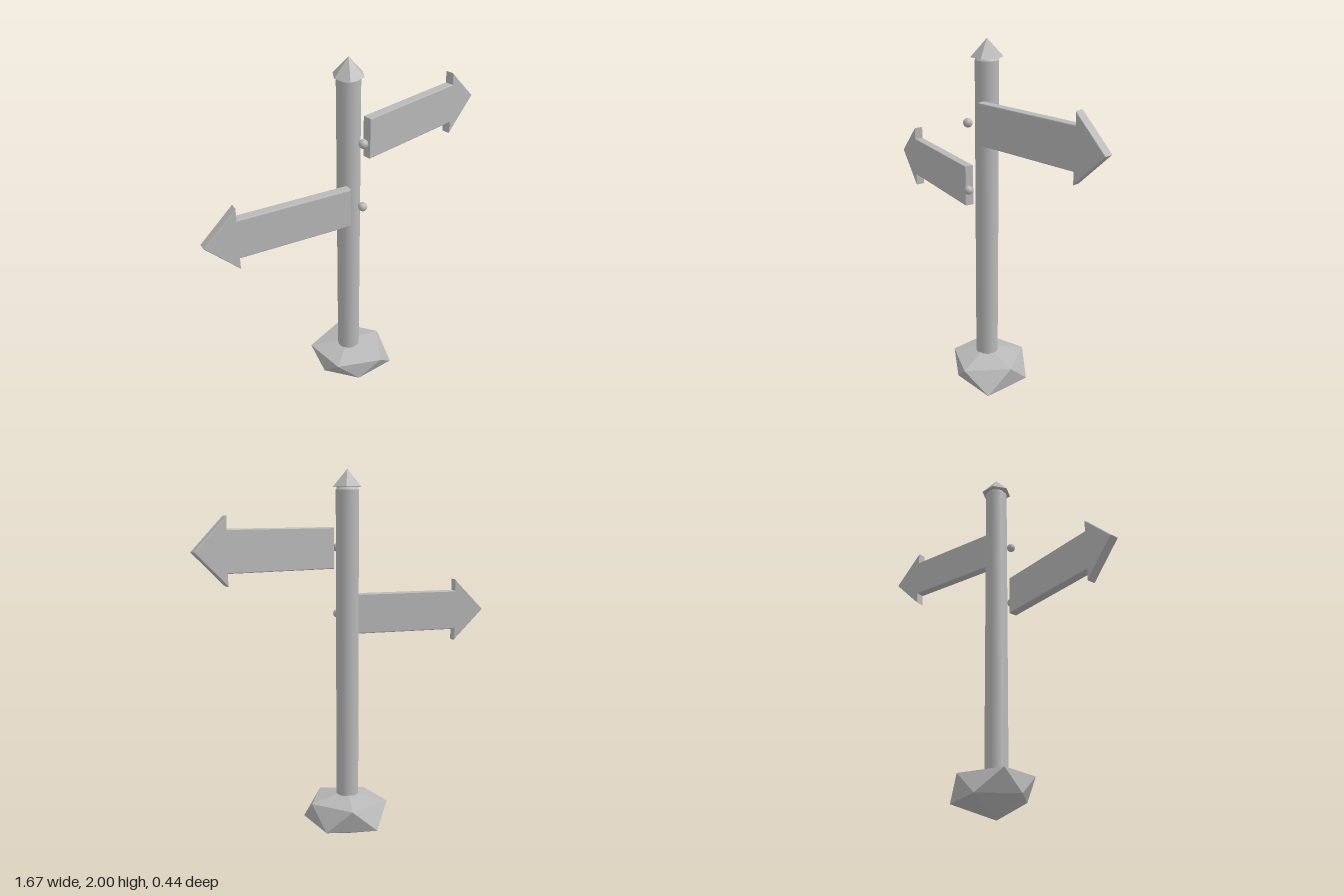
import * as THREE from 'three';

const stone = new THREE.MeshStandardMaterial({ color: 0xb8b8b8, name: 'plain grey' });
const stoneFlat = stone.clone();
stoneFlat.flatShading = true;

export function createModel() {
  const model = new THREE.Group();
  model.name = 'signpost';

  const add = (name, geometry, material, x, y, z) => {
    const mesh = new THREE.Mesh(geometry, material);
    mesh.name = name;
    mesh.position.set(x, y, z);
    model.add(mesh);
    return mesh;
  };

  // Round post with a slightly chamfered top
  const r = 0.061;
  add('post', new THREE.CylinderGeometry(r, r, 1.7, 20, 1, true), stone, 0, 1.045, 0);
  add('postChamfer', new THREE.CylinderGeometry(r - 0.01, r, 0.012, 20), stone, 0, 1.901, 0);

  // Six-sided pointed cap
  add('cap', new THREE.ConeGeometry(0.084, 0.092, 6), stoneFlat, 0, 1.954, 0).rotation.y = Math.PI / 6;

  // Base rock: two uneven five-point rings between a top and a bottom point
  add('baseRock', rockGeometry(), stoneFlat, 0, 0, 0);

  // Arrow boards swept back from the post, each with a round peg in front
  const boards = [
    { name: 'leftBoard', side: 1, y: 1.593, z: 0.078, turn: 6.9 },
    { name: 'rightBoard', side: -1, y: 1.235, z: 0.075, turn: 8.4 },
  ];
  for (const { name, side, y, z, turn } of boards) {
    const board = add(name, arrowGeometry(side), stone, side * 0.054, y, z);
    board.rotation.y = side * THREE.MathUtils.degToRad(turn);
    add(name + 'Peg', new THREE.SphereGeometry(0.024, 16, 12), stone, 0, y, 0.122);
  }
  return model;
}

// Arrow outline starting at x = 0 and pointing along the given side
function arrowGeometry(side) {
  const half = [[0, 0.109], [0.612, 0.109], [0.612, 0.173]];
  const lower = half.map(([x, y]) => [x, -y]).reverse();
  const outline = [...half, [0.787, 0], ...lower];
  const shape = new THREE.Shape(outline.map(([x, y]) => new THREE.Vector2(side * x, y)));
  const thickness = 0.05, bevel = 0.005;
  const geometry = new THREE.ExtrudeGeometry(shape, {
    depth: thickness - 2 * bevel,
    bevelThickness: bevel, bevelSize: bevel, bevelOffset: -bevel, bevelSegments: 2,
  });
  return geometry.translate(0, 0, -thickness / 2 + bevel);
}

function rockGeometry() {
  const upper = [[0.215, 0.21, 0], [0.07, 0.21, 0.215], [-0.16, 0.21, 0.115],
    [-0.178, 0.21, -0.13], [0.07, 0.21, -0.205]];
  const lower = [[0.2, 0.088, 0.15], [-0.05, 0.105, 0.17], [-0.175, 0.105, 0],
    [-0.07, 0.088, -0.225], [0.19, 0.088, -0.135]];
  const top = [0, 0.26, 0], bottom = [0, 0, 0];
  const corners = [];
  for (let i = 0; i < 5; i++) {
    const j = (i + 1) % 5;
    corners.push(top, upper[j], upper[i]);
    corners.push(upper[i], upper[j], lower[i]);
    corners.push(upper[j], lower[j], lower[i]);
    corners.push(bottom, lower[i], lower[j]);
  }
  const geometry = new THREE.BufferGeometry();
  geometry.setAttribute('position', new THREE.Float32BufferAttribute(corners.flat(), 3));
  geometry.computeVertexNormals();
  return geometry;
}
